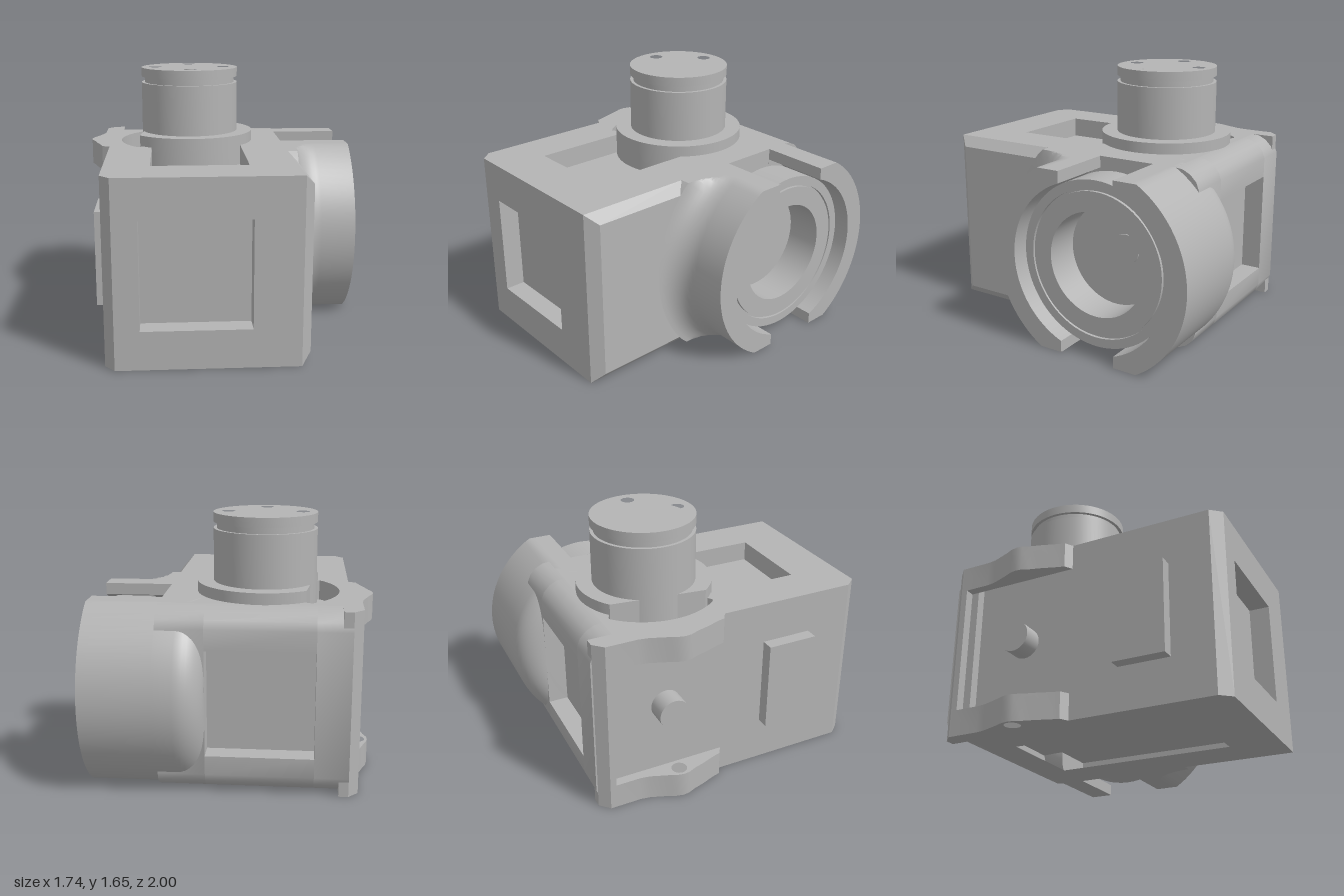
import * as THREE from 'three';
import { toCreasedNormals } from 'three/addons/utils/BufferGeometryUtils.js';
import { ConvexGeometry } from 'three/addons/geometries/ConvexGeometry.js';

const H = 1.15, MID = 0.575, AXLE_Z = -0.33;
const MOTOR_X = -0.19, MOTOR_Z = -0.255;

// Points on an arc, angles in degrees
const arc = (cx, cy, r, a0, a1, n = 48) => Array.from({ length: n + 1 }, (_, i) => {
  const a = THREE.MathUtils.degToRad(a0 + (a1 - a0) * i / n);
  return [cx + r * Math.cos(a), cy + r * Math.sin(a)];
});
const circle = (cx, cy, r, n = 48) => arc(cx, cy, r, 0, 360, n).slice(0, -1);
const rect = (a0, a1, b0, b1) => [[a0, b0], [a1, b0], [a1, b1], [a0, b1]];

// Extrude an outline along an axis: z takes (x,y), y takes (x,z), x takes (z,y)
function prism(axis, from, to, outline, holes = []) {
  const map = { z: p => p, y: p => [p[0], -p[1]], x: p => [-p[0], p[1]] }[axis];
  const vec = pts => pts.map(p => new THREE.Vector2(...map(p)));
  const shape = new THREE.Shape(vec(outline));
  shape.holes = holes.map(h => new THREE.Path(vec(h)));
  const g = new THREE.ExtrudeGeometry(shape, { depth: to - from, bevelEnabled: false });
  g.translate(0, 0, from);
  if (axis === 'y') g.rotateX(-Math.PI / 2);
  if (axis === 'x') g.rotateY(Math.PI / 2);
  return toCreasedNormals(g, 0.5);
}

// Half of the round housing, lofted along x through sections [x, outer radius, inner radius]
function housingHalf(side, sections) {
  const n = 40, pos = [];
  const ring = ([x, ro, ri]) => {
    const half = r => Array.from({ length: n + 1 }, (_, i) => {
      const lim = r === ro ? 74 : Math.acos(0.19 / r) * 180 / Math.PI;
      const a = THREE.MathUtils.degToRad(lim - 2 * lim * i / n);
      const z = i === 0 || i === n ? 0.19 : Math.max(0.19, r * Math.cos(a));
      const y = THREE.MathUtils.clamp(r * Math.sin(a), -MID, MID);
      return [x, MID + y, AXLE_Z + side * z];
    });
    return [...half(ro), ...half(ri).reverse()];
  };
  const rings = sections.map(ring), m = 2 * n + 2;
  const quad = (a, b, c, d) => {
    const t = side > 0 ? [a, b, c, a, c, d] : [a, c, b, a, d, c];
    t.forEach(p => pos.push(...p));
  };
  for (let k = 0; k < rings.length - 1; k++) {
    for (let i = 0; i < m; i++) {
      const j = (i + 1) % m;
      quad(rings[k][i], rings[k][j], rings[k + 1][j], rings[k + 1][i]);
    }
  }
  const s = rings[0], e = rings[rings.length - 1];
  for (let i = 0; i < n; i++) {
    const p = m - 1 - i;
    quad(e[i], e[i + 1], e[p - 1], e[p]);
    quad(s[i], s[p], s[p - 1], s[i + 1]);
  }
  const g = new THREE.BufferGeometry();
  g.setAttribute('position', new THREE.Float32BufferAttribute(pos, 3));
  return toCreasedNormals(g, 0.6);
}

export function createModel() {
  const model = new THREE.Group();
  const grey = new THREE.MeshStandardMaterial({ color: 0xb4b4b4 });
  grey.name = 'plain grey';
  const add = (name, geometry) => {
    const mesh = new THREE.Mesh(geometry, grey);
    mesh.name = name;
    model.add(mesh);
    return mesh;
  };

  // Inner core, whose faces are the floors of the windows
  add('core', prism('z', -0.7, 0.87, rect(-0.67, 0.43, 0.13, 1.02)));

  // Front, top and bottom plates with windows
  add('frontPlate', prism('z', 0.87, 1, rect(-0.67, 0.43, 0, H), [rect(-0.52, 0.14, 0.24, 0.9)]));
  const deck = rect(-0.67, 0.43, -0.67, 0.87);
  add('bottomPlate', prism('y', 0, 0.13, deck, [rect(-0.45, 0.14, -0.5, 0.68)]));
  const topWindow = [
    [0.14, 0.68], [0.14, -0.5], [-0.4, -0.5], [-0.45, -0.6], [-0.48, -0.615],
    ...arc(MOTOR_X, MOTOR_Z, 0.472, 230, 142, 20), [-0.54, 0.055], [-0.5, 0.03], [-0.45, 0.06], [-0.45, 0.68],
  ];
  add('topPlate', prism('y', 1.02, H, deck, [topWindow]));

  // Back wall with rounded upper and lower edges around its window
  const upper = [[-0.67, H], [-0.72, 1.145], [-0.77, 1.12], [-0.81, 1.08], [-0.83, 1.03]];
  const lower = upper.map(([z, y]) => [z, H - y]).reverse();
  add('backPost', prism('x', -0.73, -0.52, [...upper, ...lower]));
  add('backPost', prism('x', 0.14, 0.43, [...upper, ...lower]));
  add('backRail', prism('x', -0.52, 0.14, [...upper, [-0.83, 0.9], [-0.67, 0.9]]));
  add('backRail', prism('x', -0.52, 0.14, [[-0.67, 0.24], [-0.83, 0.24], ...lower]));

  // Chamfered right flank in front of the round housing
  const flank = [];
  for (const z of [0.27, 1]) for (const y of [0, H]) flank.push(new THREE.Vector3(0.43, y, z));
  for (const z of [0.27, 0.93]) for (const y of [0.065, 1.085]) flank.push(new THREE.Vector3(0.49, y, z));
  add('rightFlank', new ConvexGeometry(flank));

  // Left flank with a round-ended recess and a panel recess
  const pivotRecess = [[-0.72, 0.165], ...arc(AXLE_Z, MID, 0.41, -90, 90, 32), [-0.72, 0.985]];
  add('leftFlank', prism('x', -0.73, -0.67, rect(-0.82, 0.93, 0, H),
    [pivotRecess, rect(0.15, 0.85, 0.1, 1.05)]));
  add('leftFrontChamfer', prism('y', 0, H, [[-0.67, 0.93], [-0.73, 0.93], [-0.67, 1]]));
  add('sidePanel', prism('x', -0.71, -0.67, rect(0.15, 0.85, 0.1, 1.05)));
  add('sideBlock', prism('x', -0.79, -0.71, rect(0.33, 0.66, 0.28, 0.87)));
  add('pivotPin', prism('x', -0.8, -0.67, circle(AXLE_Z, MID, 0.098)));

  // Upper and lower ears joined by a rear column
  const ear = [
    [-0.73, 0.03], [-0.78, 0], [-0.79, -0.04], [-0.825, -0.14], [-0.845, -0.21], [-0.866, -0.26],
    [-0.87, -0.3], [-0.86, -0.345], [-0.84, -0.39], [-0.8, -0.5], [-0.79, -0.56], [-0.79, -0.76],
    [-0.73, -0.82],
  ];
  add('upperEar', prism('y', 0.985, H, ear));
  add('lowerEar', prism('y', 0, 0.165, ear, [circle(-0.802, -0.3, 0.05, 24)]));
  add('rearColumn', prism('y', 0.165, 0.985, [[-0.73, -0.72], [-0.79, -0.72], [-0.79, -0.76], [-0.73, -0.82]]));

  // Round housing: concave fillet at the front, rounded shoulder at the back
  const front = [[0.43, 0.83, 0.535]], back = [];
  for (let i = 0; i <= 10; i++) {
    const t = 1 - Math.cos(i / 10 * Math.PI / 2), s = Math.sin(i / 10 * Math.PI / 2);
    front.push([0.49 + 0.16 * t, 0.83 - 0.16 * s, 0.535]);
    back.push([0.14 + 0.17 * t, 0.5 + 0.17 * s, 0.45]);
  }
  front.push([0.87, 0.67, 0.535]);
  back.push([0.43, 0.67, 0.45], [0.431, 0.67, 0.535], [0.87, 0.67, 0.535]);
  add('frontHousing', housingHalf(1, front));
  add('backHousing', housingHalf(-1, back));

  // Bearing ring with a fine groove between its races
  const race = [
    [0.33, 0.54], [0.525, 0.54], [0.525, 0.77], [0.467, 0.77], [0.467, 0.75],
    [0.455, 0.75], [0.455, 0.77], [0.33, 0.77], [0.33, 0.54],
  ].map(p => new THREE.Vector2(...p));
  const bearing = add('bearing', toCreasedNormals(new THREE.LatheGeometry(race, 72).rotateZ(-Math.PI / 2), 0.5));
  bearing.position.set(0, MID, AXLE_Z);
  add('axleEnd', prism('x', 0.42, 0.44, circle(AXLE_Z, MID, 0.098)));

  // Motor flange, trimmed on the left, sitting in the top window
  const flange = arc(MOTOR_X, MOTOR_Z, 0.428, -128, 142, 72);
  add('motorFlange', prism('y', 1.02, 1.22, flange));

  // Motor post, groove and drilled cap
  add('motorPost', prism('y', 1.02, 1.55, circle(MOTOR_X, MOTOR_Z, 0.326, 72)));
  add('motorGroove', prism('y', 1.55, 1.6, circle(MOTOR_X, MOTOR_Z, 0.305, 72)));
  const screwHoles = [0, 90, 180, 270].map(d => {
    const a = THREE.MathUtils.degToRad(d);
    return circle(MOTOR_X + 0.232 * Math.cos(a), MOTOR_Z + 0.232 * Math.sin(a), 0.043, 24);
  });
  add('motorCap', prism('y', 1.59, 1.65, circle(MOTOR_X, MOTOR_Z, 0.326, 72), screwHoles));

  return model;
}
